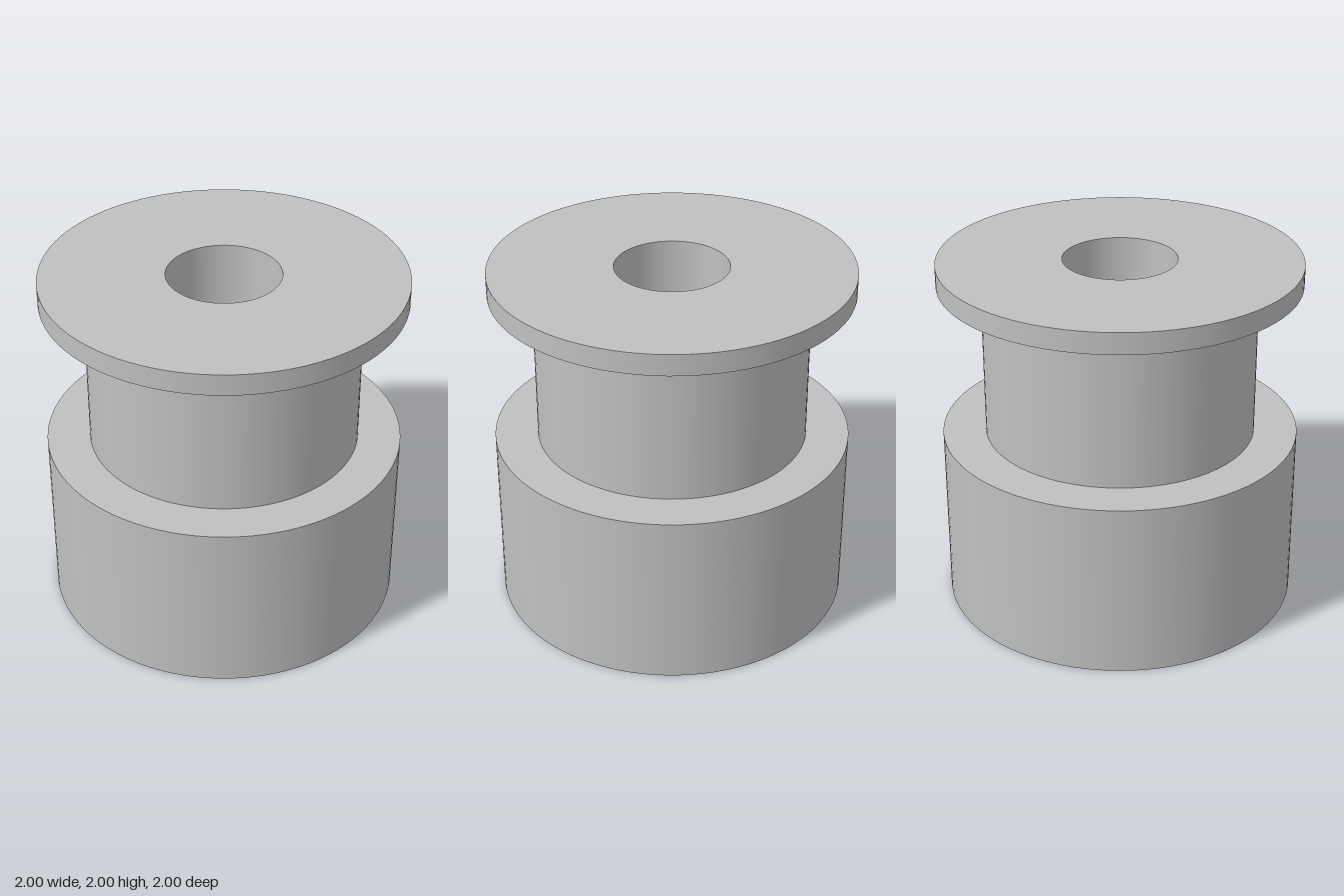
import * as THREE from 'three';
import { mergeGeometries } from 'three/addons/utils/BufferGeometryUtils.js';

const BORE = 0.315, NECK = 0.76, RIM = 1;
const SHOULDER = 1, FLANGE = 1.88, TOP = 2;

// Revolve each straight run of the profile separately so its edges stay crisp
function turned(profile) {
  const points = profile.map(([r, y]) => new THREE.Vector2(r, y));
  const bands = points.slice(1).map((p, i) => new THREE.LatheGeometry([points[i], p], 96));
  return mergeGeometries(bands);
}

export function createModel() {
  const group = new THREE.Group();
  group.name = 'flangedBushing';
  const metal = new THREE.MeshStandardMaterial({ color: 0xc0c0c0 });
  metal.name = 'light grey metal';

  // Profiles run with the solid on their left, so faces point outward
  const parts = {
    base: [[BORE, 0], [RIM, 0], [RIM, SHOULDER], [NECK, SHOULDER]],
    neck: [[NECK, SHOULDER], [NECK, FLANGE]],
    topFlange: [[NECK, FLANGE], [RIM, FLANGE], [RIM, TOP], [BORE, TOP]],
    bore: [[BORE, TOP], [BORE, 0]],
  };
  for (const [name, profile] of Object.entries(parts)) {
    const mesh = new THREE.Mesh(turned(profile), metal);
    mesh.name = name;
    group.add(mesh);
  }
  return group;
}
